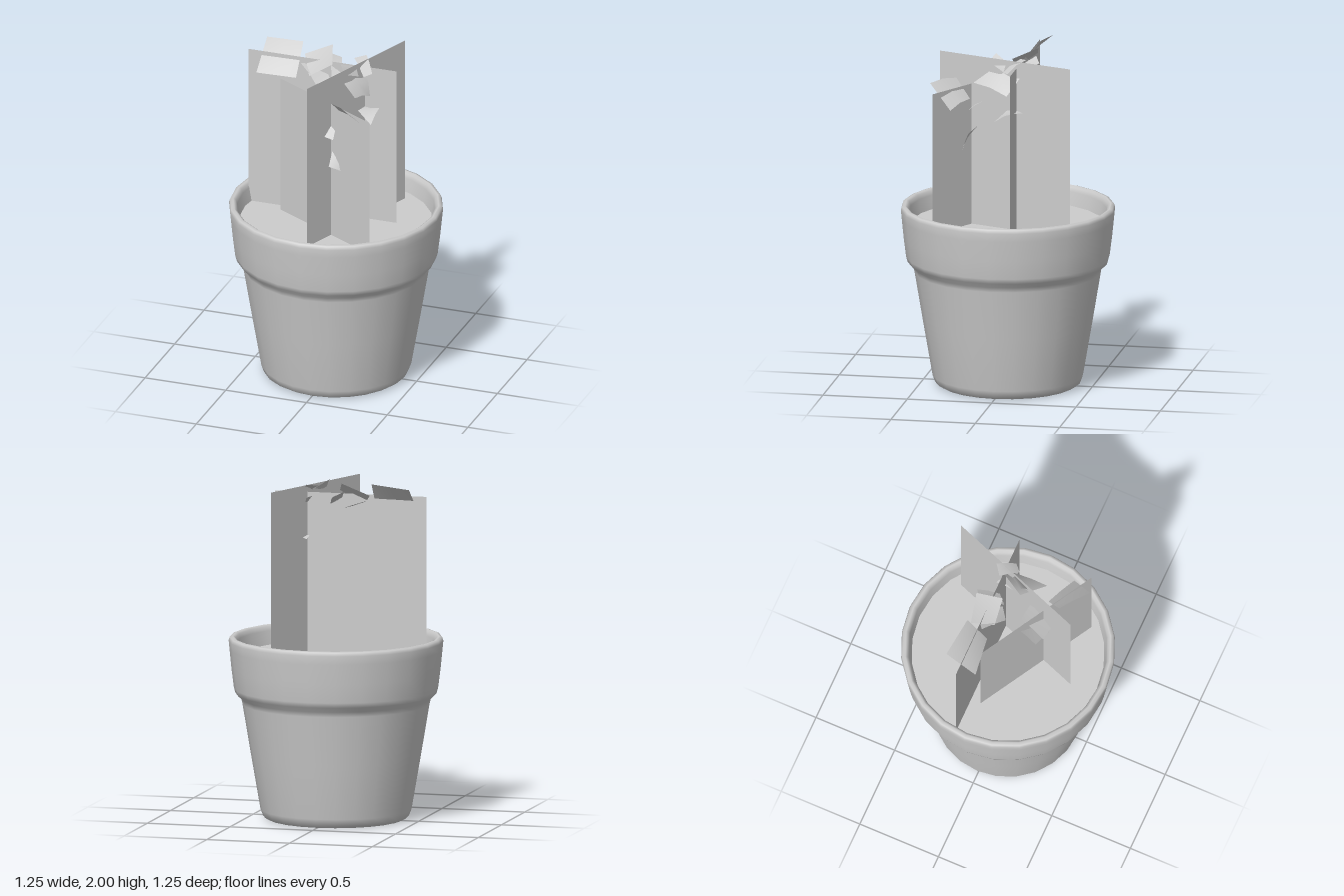
import * as THREE from 'three';

const grey = new THREE.MeshStandardMaterial({ color: 0xcccccc, side: THREE.DoubleSide });
grey.name = 'plain grey';

function add(group, name, geometry) {
  const mesh = new THREE.Mesh(geometry, grey);
  mesh.name = name;
  group.add(mesh);
}

// Upright flat card between two ground points
function stemCard([x1, z1], [x2, z2], bottom, top) {
  const g = new THREE.PlaneGeometry(Math.hypot(x2 - x1, z2 - z1), top - bottom);
  g.rotateY(-Math.atan2(z2 - z1, x2 - x1));
  g.translate((x1 + x2) / 2, (bottom + top) / 2, (z1 + z2) / 2);
  return g;
}

// Four-cornered leaf, slightly arched along its middle
function leaf(a, b, c, d, arch = 0.012) {
  const [A, B, C, D] = [a, b, c, d].map((p) => new THREE.Vector3(...p));
  const g = new THREE.PlaneGeometry(1, 1, 2, 2);
  const pos = g.attributes.position;
  for (let i = 0; i < pos.count; i++) {
    const u = pos.getX(i) + 0.5, v = 0.5 - pos.getY(i);
    const p = A.clone().lerp(B, u).lerp(D.clone().lerp(C, u), v);
    p.y += arch * 4 * v * (1 - v);
    pos.setXYZ(i, p.x, p.y, p.z);
  }
  g.computeVertexNormals();
  return g;
}

export function createModel() {
  const model = new THREE.Group();
  model.name = 'pottedPlant';
  const SIDES = 24, SOIL = 0.96;

  // Pot: tapered body, step and thick rim
  const profile = [
    [0.40, 0.005], [0.425, 0.02], [0.44, 0.06], [0.495, 0.38], [0.545, 0.68],
    [0.552, 0.71], [0.585, 0.74], [0.594, 0.77], [0.608, 0.88], [0.62, 1.0],
    [0.625, 1.05], [0.618, 1.07], [0.60, 1.075], [0.585, 1.065], [0.577, 1.04], [0.563, SOIL],
  ].map(([r, y]) => new THREE.Vector2(r, y));
  add(model, 'pot', new THREE.LatheGeometry(profile, SIDES));

  const base = new THREE.CircleGeometry(0.40, SIDES);
  base.rotateX(Math.PI / 2).translate(0, 0.005, 0);
  add(model, 'potBase', base);

  const soil = new THREE.CircleGeometry(0.563, SIDES);
  soil.rotateX(-Math.PI / 2).translate(0, SOIL, 0);
  add(model, 'soil', soil);

  // Three crossing stem cards: ends and top height
  [
    [[-0.57, -0.08], [0.345, -0.08], 1.93],
    [[-0.03, 0.41], [0.275, -0.42], 1.97],
    [[-0.35, -0.02], [0.345, 0.38], 1.80],
  ].forEach(([p, q, top], i) => add(model, `stemCard${i + 1}`, stemCard(p, q, SOIL - 0.01, top)));

  // Left cluster of leaves
  const leaves = [
    [[-0.49, 1.98, -0.175], [-0.255, 2.0, -0.145], [-0.255, 1.82, -0.02], [-0.49, 1.83, 0.01]],
    [[-0.24, 1.93, -0.13], [-0.08, 2.0, -0.165], [-0.03, 1.94, -0.02], [-0.17, 1.85, -0.01]],
    [[-0.09, 1.95, -0.15], [-0.03, 1.92, -0.18], [0.02, 1.85, -0.06], [-0.03, 1.84, -0.01]],
    [[-0.24, 1.90, -0.06], [-0.13, 1.87, -0.15], [-0.03, 1.80, -0.02], [-0.10, 1.80, 0.03]],
    // Right cluster
    [[0.145, 1.90, -0.12], [0.20, 1.77, -0.03], [0.18, 1.84, 0.17], [0.04, 1.91, 0.06]],
    [[0.08, 1.97, -0.09], [0.14, 1.98, -0.135], [0.21, 1.91, -0.04], [0.17, 1.90, 0.0]],
    [[0.14, 1.66, -0.135], [0.24, 1.68, -0.09], [0.23, 1.62, 0.04], [0.13, 1.67, -0.02]],
    [[0.05, 1.99, 0.06], [0.11, 1.95, -0.02], [0.14, 1.90, 0.0], [0.08, 1.94, 0.09]],
    // Front cluster
    [[0.08, 1.84, 0.29], [0.13, 1.73, 0.20], [0.32, 1.70, 0.28], [0.24, 1.84, 0.415]],
    [[-0.04, 1.75, 0.10], [0.07, 1.72, 0.11], [0.08, 1.60, 0.27], [-0.06, 1.62, 0.25]],
    [[-0.10, 1.73, 0.11], [-0.03, 1.68, 0.12], [0.03, 1.53, 0.25], [-0.10, 1.60, 0.22]],
    [[0.06, 1.55, 0.17], [0.13, 1.52, 0.21], [0.12, 1.40, 0.25], [0.05, 1.42, 0.26]],
  ];
  leaves.forEach((c, i) => add(model, `leaf${i + 1}`, leaf(...c, i < 2 ? 0 : 0.012)));

  return model;
}
